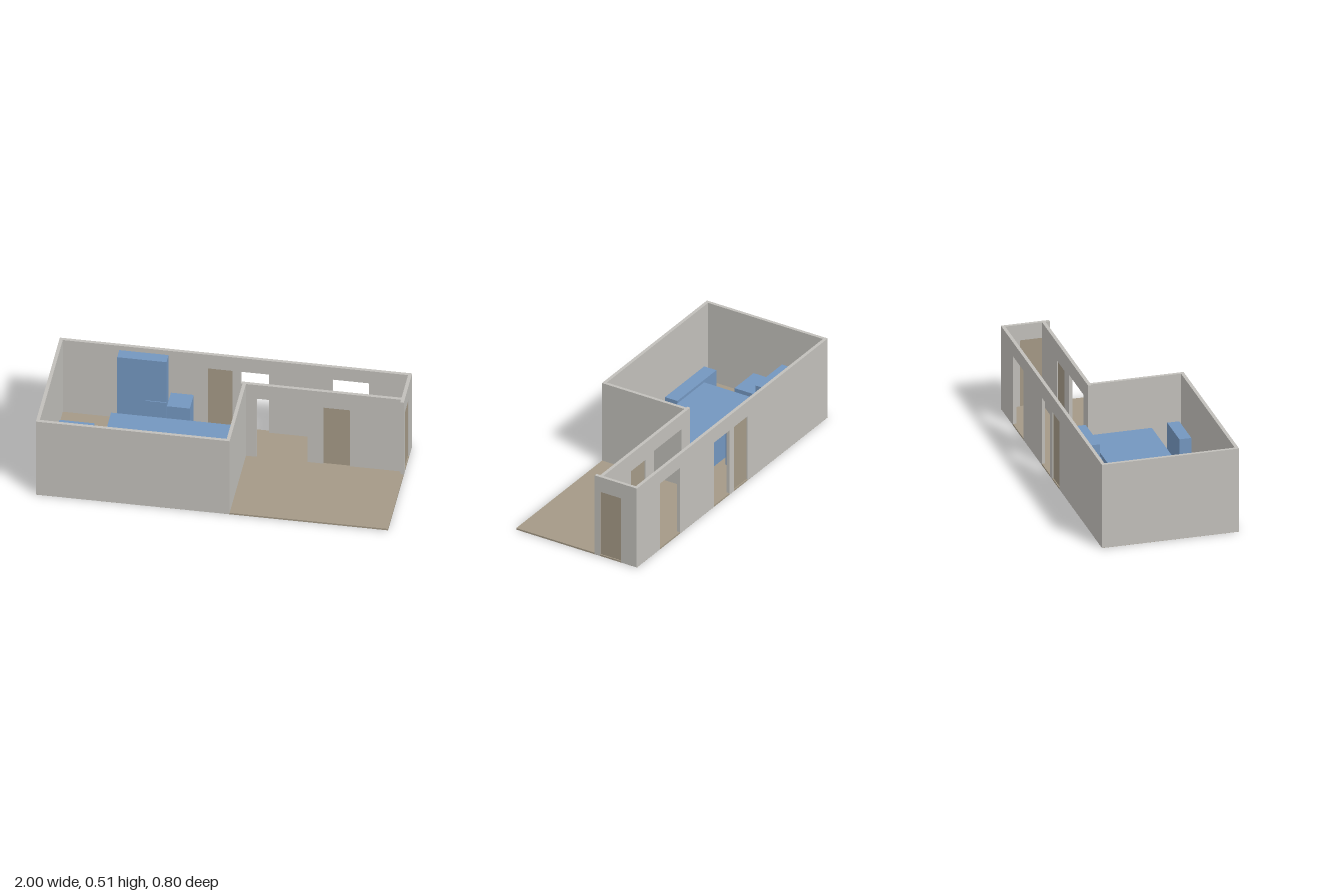
import * as THREE from 'three';

const WALL_TOP = 0.51, FLOOR_TOP = 0.01, T = 0.02, BASE = 0.001;

export function createModel() {
  const model = new THREE.Group();
  model.name = 'floorPlan';

  const material = (name, color) => {
    const m = new THREE.MeshStandardMaterial({ color });
    m.name = name;
    return m;
  };
  const wallGrey = material('wall grey', 0xc1bfba);
  const floorBrown = material('floor brown', 0xa49986);
  const furnitureBlue = material('furniture blue', 0x7396bf);

  // Box given by its limits on each axis
  const box = (name, mat, [x0, x1], [y0, y1], [z0, z1]) => {
    const mesh = new THREE.Mesh(new THREE.BoxGeometry(x1 - x0, y1 - y0, z1 - z0), mat);
    mesh.position.set((x0 + x1) / 2, (y0 + y1) / 2, (z0 + z1) / 2);
    mesh.name = name;
    model.add(mesh);
  };

  // Wall running from a to b, with doorways [start, end, top] rising from the floor
  const wall = (name, axis, a, b, low, doorways = []) => {
    const s = new THREE.Shape();
    s.moveTo(a, BASE);
    for (const [d0, d1, top] of doorways) {
      s.lineTo(d0, BASE);
      s.lineTo(d0, top);
      s.lineTo(d1, top);
      s.lineTo(d1, BASE);
    }
    s.lineTo(b, BASE);
    s.lineTo(b, WALL_TOP);
    s.lineTo(a, WALL_TOP);
    s.closePath();
    const geo = new THREE.ExtrudeGeometry(s, { depth: T, bevelEnabled: false });
    if (axis === 'z') geo.rotateY(-Math.PI / 2).translate(low + T, 0, 0);
    else geo.translate(0, 0, low);
    const mesh = new THREE.Mesh(geo, wallGrey);
    mesh.name = name;
    model.add(mesh);
  };

  // Floor slab
  box('floor', floorBrown, [-1, 1], [0, FLOOR_TOP], [-0.3995, 0.4]);

  // Outer walls
  wall('backWall', 'x', -1, 1, -0.4, [[-0.157, -0.018, 0.415], [0.03, 0.19, 0.415], [0.55, 0.76, 0.425]]);
  wall('frontWall', 'x', -1, 0.1, 0.381);
  wall('rightEndWall', 'z', -0.399, 0.4, -1.001);
  wall('leftEndWall', 'z', -0.399, -0.12, 0.981, [[-0.295, -0.156, 0.415]]);

  // Inner walls
  wall('partitionWall', 'z', -0.165, 0.4, 0.08);
  wall('corridorWall', 'x', 0.07, 0.985, -0.165, [[0.16, 0.45, 0.415], [0.54, 0.69, 0.4]]);

  // Closed doors, set back in their doorways
  box('backDoor', floorBrown, [-0.157, -0.018], [FLOOR_TOP, 0.415], [-0.394, -0.386]);
  box('corridorDoor', floorBrown, [0.54, 0.69], [FLOOR_TOP, 0.4], [-0.159, -0.151]);
  box('endDoor', floorBrown, [0.986, 0.994], [FLOOR_TOP, 0.415], [-0.295, -0.156]);

  // Furniture blocks: name, x limits, z limits, top
  const furniture = [
    ['tallCabinet', [-0.66, -0.38], [-0.382, -0.312], 0.48],
    ['lowCabinet', [-0.5, -0.38], [-0.382, -0.307], 0.2],
    ['smallCabinet', [-0.36, -0.23], [-0.34, -0.21], 0.25],
    ['largeTable', [-0.67, 0.08], [-0.165, 0.21], 0.2],
    ['sideTable', [-0.95, -0.75], [-0.09, 0.06], 0.17],
    ['bench', [-0.94, -0.53], [0.3, 0.382], 0.12],
    ['stool', [-0.41, -0.31], [0.27, 0.382], 0.16],
    ['cornerCabinet', [-0.16, 0.08], [0.3, 0.37], 0.22],
  ];
  for (const [name, x, z, top] of furniture) box(name, furnitureBlue, x, [FLOOR_TOP, top], z);

  return model;
}
